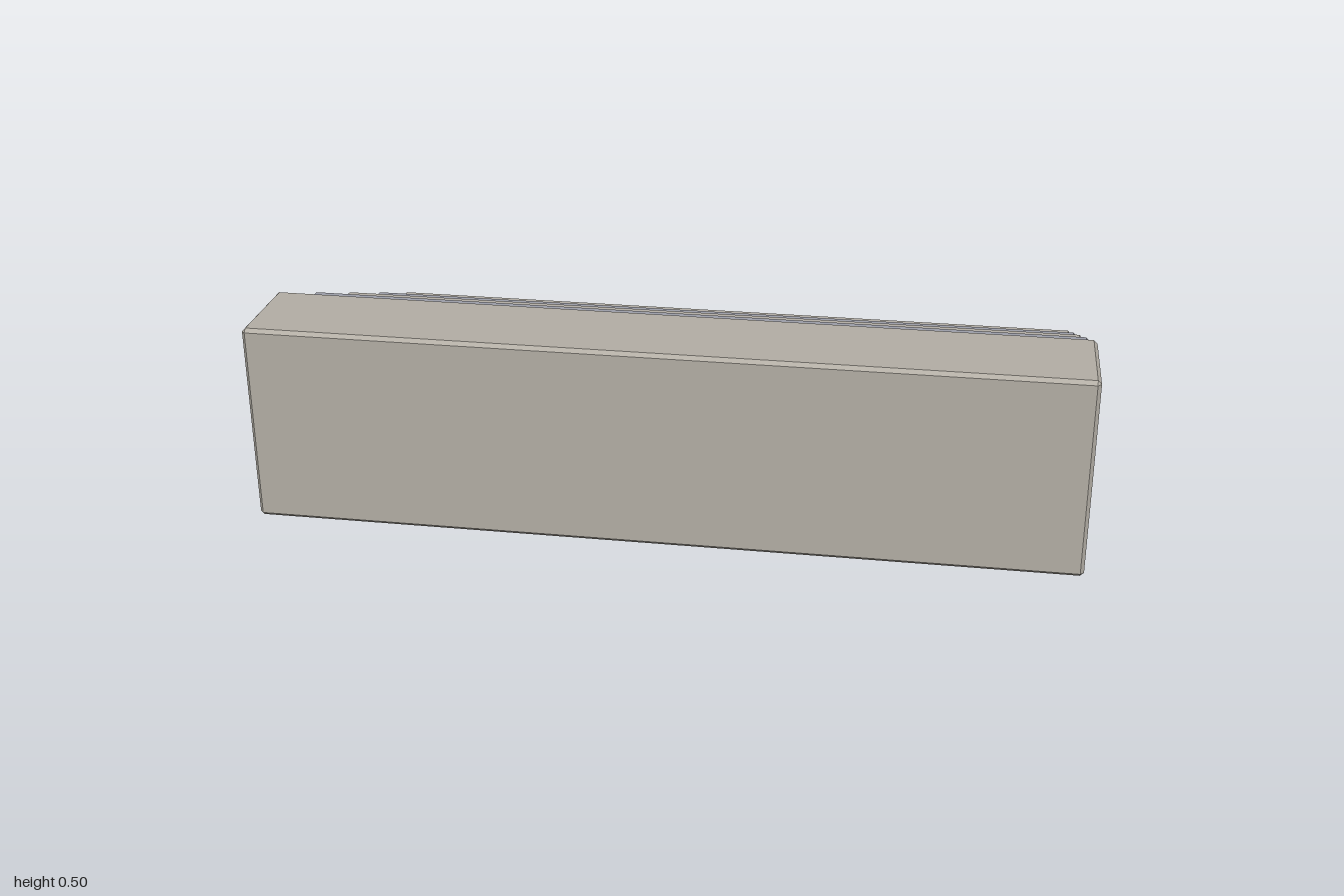
import * as THREE from 'three';
import { ConvexGeometry } from 'three/addons/geometries/ConvexGeometry.js';

// Box with every edge chamfered, standing on y = 0
function chamferedBox(w, h, d, c) {
  const points = [];
  for (const sx of [-1, 1]) for (const sy of [-1, 1]) for (const sz of [-1, 1]) {
    for (let axis = 0; axis < 3; axis++) {
      const inset = [c, c, c];
      inset[axis] = 0;
      points.push(new THREE.Vector3(
        sx * (w / 2 - inset[0]),
        h / 2 + sy * (h / 2 - inset[1]),
        sz * (d / 2 - inset[2])));
    }
  }
  return new ConvexGeometry(points);
}

export function createModel() {
  const warmStone = new THREE.MeshStandardMaterial({ name: 'warm stone', color: 0xb3aea5 });
  const blueStone = new THREE.MeshStandardMaterial({ name: 'blue stone', color: 0x9c9ea9 });

  const stairs = new THREE.Group();
  stairs.name = 'stairs';

  // Five full-height steps, rising toward the front
  const count = 5, pitch = 0.25, rise = 0.1;
  for (let i = 0; i < count; i++) {
    const step = new THREE.Mesh(
      chamferedBox(2, rise * (i + 1), 0.246, 0.009),
      i % 2 ? blueStone : warmStone);
    step.name = `step${i + 1}`;
    step.position.z = (i - (count - 1) / 2) * pitch;
    stairs.add(step);
  }
  return stairs;
}
